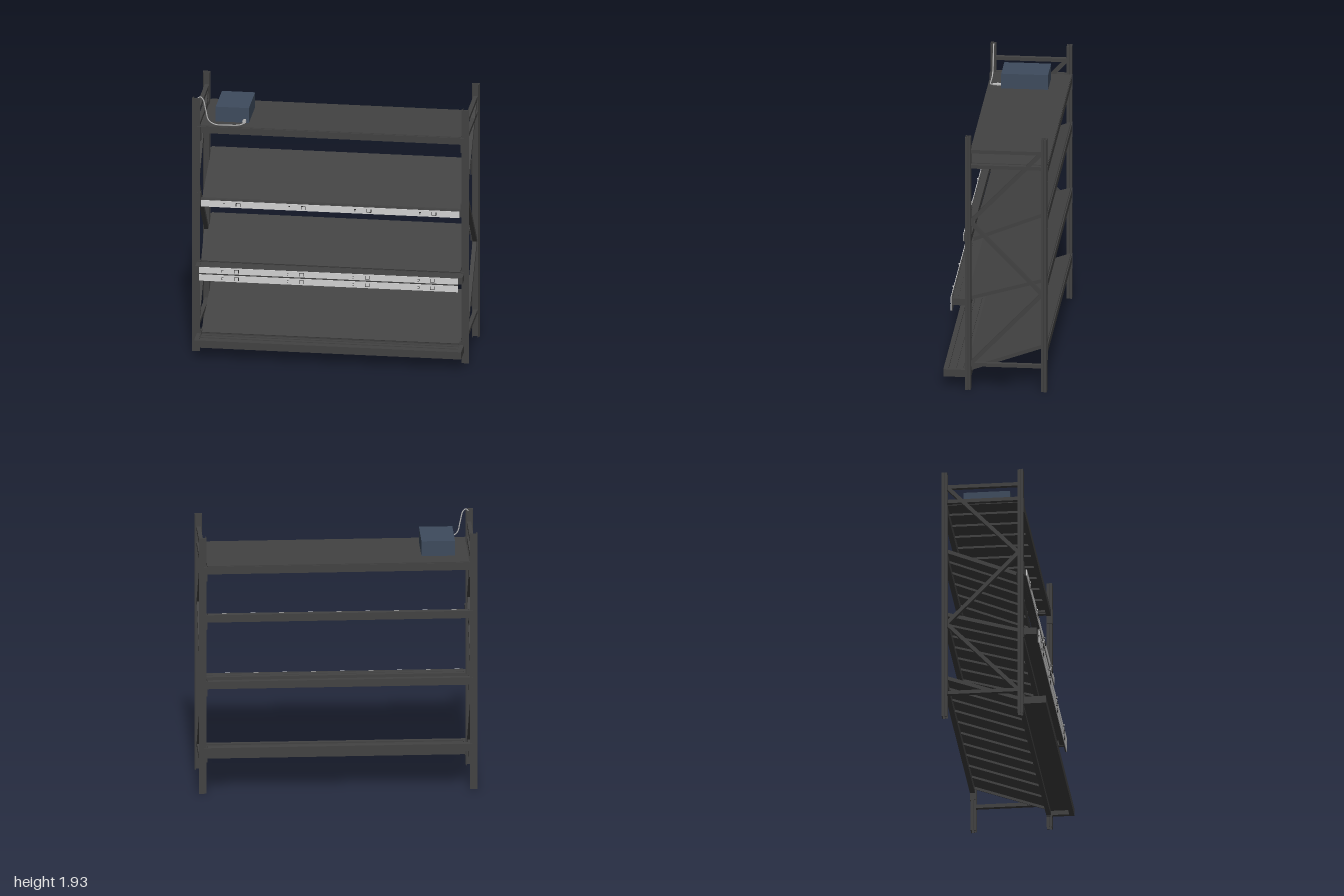
import * as THREE from 'three';

const mat = (name, color, side = THREE.FrontSide) => {
  const m = new THREE.MeshStandardMaterial({ color, side });
  m.name = name;
  return m;
};

export function createModel() {
  const steel = mat('dark steel', 0x424242);
  const strip = mat('pale strip', 0xd2d2d2);
  const clipDark = mat('clip dark', 0x2c2c2c);
  const boxBlue = mat('slate blue', 0x3e4b5d);
  const cableGrey = mat('cable grey', 0xb4b4b4);

  const root = new THREE.Group();
  root.name = 'shelvingRack';

  const add = (parent, name, geo, m) => {
    const mesh = new THREE.Mesh(geo, m);
    mesh.name = name;
    parent.add(mesh);
    return mesh;
  };
  // box from min/max bounds
  const box = (parent, name, x0, x1, y0, y1, z0, z1, m = steel) => {
    const b = add(parent, name, new THREE.BoxGeometry(x1 - x0, y1 - y0, z1 - z0), m);
    b.position.set((x0 + x1) / 2, (y0 + y1) / 2, (z0 + z1) / 2);
    return b;
  };
  // the same box on both sides of x = 0
  const pair = (parent, name, x0, x1, y0, y1, z0, z1, m = steel) => {
    box(parent, name, x0, x1, y0, y1, z0, z1, m);
    box(parent, name, -x1, -x0, y0, y1, z0, z1, m);
  };

  // Posts: open sheet channels with stepped flanges, open towards the frame
  const w = 0.0275, t = 0.004, H = 1.925;
  const half = [[w, 0], [w, 0.018], [w - 0.006, 0.023], [w - 0.006, 0.04],
    [w - 0.006 - t, 0.04], [w - 0.006 - t, 0.024], [w - t, 0.019], [w - t, t]];
  const outline = [...half, ...half.slice().reverse().map(([x, y]) => [-x, y])];
  const postGeo = new THREE.ExtrudeGeometry(
    new THREE.Shape(outline.map(([x, y]) => new THREE.Vector2(x, y))),
    { depth: H, bevelEnabled: false });
  postGeo.rotateX(-Math.PI / 2);
  for (const s of [-1, 1]) {
    const front = add(root, 'frontPost', postGeo, steel);
    front.position.set(s * 0.9725, 0, 0.215);
    const back = add(root, 'backPost', postGeo, steel);
    back.position.set(s * 0.9725, 0, -0.372);
    back.rotation.y = Math.PI;
  }

  // End frame bracing, given as [z, y] to [z, y]
  const braces = [
    [0.2, 1.815, -0.36, 1.815], [0.2, 1.7, -0.36, 1.7], [0.2, 0.19, -0.36, 0.19],
    [-0.34, 1.82, 0.185, 1.27], [0.185, 1.28, -0.34, 0.735], [-0.34, 0.74, 0.185, 0.185],
  ];
  for (const s of [-1, 1]) {
    for (const [za, ya, zb, yb] of braces) {
      const b = add(root, 'brace',
        new THREE.BoxGeometry(0.03, 0.027, Math.hypot(zb - za, yb - ya)), steel);
      b.position.set(s * 0.97, (ya + yb) / 2, (za + zb) / 2);
      b.rotation.x = -Math.atan2(yb - ya, zb - za);
    }
  }

  // Shelf decks: thin plate with folded edges and ribs beneath
  const deck = (name, zf, yf, zb, yb, hw) => {
    const g = new THREE.Group();
    g.name = name;
    const L = Math.hypot(zf - zb, yb - yf);
    box(g, 'deckPlate', -hw, hw, -0.008, 0, -L / 2, L / 2);
    pair(g, 'deckSideFold', hw - 0.006, hw, -0.027, -0.008, -L / 2, L / 2);
    box(g, 'deckFrontFold', -hw, hw, -0.025, -0.008, L / 2 - 0.006, L / 2);
    box(g, 'deckBackFold', -hw, hw, -0.025, -0.008, -L / 2, -L / 2 + 0.006);
    for (let i = 1; i < 10; i++) {
      const x = -hw + (i * 2 * hw) / 10;
      box(g, 'deckRib', x - 0.008, x + 0.008, -0.024, -0.008, -L / 2 + 0.006, L / 2 - 0.006);
    }
    g.position.set(0, (yf + yb) / 2, (zf + zb) / 2);
    g.rotation.x = Math.atan2(yb - yf, zf - zb);
    root.add(g);
  };
  deck('topShelf', 0.2, 1.715, -0.372, 1.715, 0.94);
  deck('upperShelf', 0.165, 1.142, -0.365, 1.355, 0.936);
  deck('middleShelf', 0.205, 0.688, -0.365, 0.852, 0.936);
  deck('lowerShelf', 0.21, 0.146, -0.365, 0.352, 0.936);

  // Back beams with hook plates on the posts
  for (const y of [1.708, 1.345, 0.843, 0.343]) {
    box(root, 'backBeam', -0.945, 0.945, y - 0.055, y, -0.375, -0.34);
    pair(root, 'backHookPlate', 0.938, 0.965, y - 0.108, y, -0.376, -0.371);
    pair(root, 'backHookReturn', 0.938, 0.944, y - 0.108, y, -0.371, -0.335);
  }

  // Front beams
  for (const [y0, y1, h0, h1] of [[1.66, 1.71, 1.6, 1.71], [1.11, 1.16, 1.11, 1.21],
    [0.635, 0.68, 0.61, 0.69], [0.085, 0.14, 0.08, 0.165]]) {
    box(root, 'frontBeam', -0.945, 0.945, y0, y1, 0.175, 0.208);
    pair(root, 'frontHookPlate', 0.938, 0.965, h0, h1, 0.214, 0.219);
    pair(root, 'frontHookReturn', 0.938, 0.944, h0, h1, 0.175, 0.214);
  }

  // Middle shelf: beam carried forward on short arms
  pair(root, 'middleArm', 0.935, 0.965, 0.632, 0.682, 0.21, 0.31);
  box(root, 'middleOuterBeam', -0.935, 0.935, 0.635, 0.68, 0.27, 0.31);
  box(root, 'middleLedge', -0.935, 0.935, 0.67, 0.678, 0.205, 0.27);

  // Lower shelf: flat tray reaching out in front
  box(root, 'trayFront', -0.965, 0.965, 0.085, 0.14, 0.34, 0.375);
  pair(root, 'trayArm', 0.935, 0.965, 0.085, 0.14, 0.205, 0.34);
  box(root, 'trayDeck', -0.935, 0.935, 0.118, 0.13, 0.205, 0.34);
  for (const z of [0.235, 0.285]) {
    box(root, 'trayRidge', -0.935, 0.935, 0.13, 0.136, z, z + 0.008);
  }
  pair(root, 'trayGusset', 0.93, 0.945, 0.13, 0.16, 0.18, 0.225);

  // Pale front strips with their backing rails and small clips
  const labelStrip = (y0, y1, z) => {
    const g = new THREE.Group();
    g.name = 'frontStrip';
    box(g, 'stripRail', -0.935, 0.935, y0, y1, z - 0.014, z - 0.005, steel);
    box(g, 'stripFace', -0.935, 0.935, y0 + 0.001, y1 - 0.001, z - 0.005, z, strip);
    const yc = (y0 + y1) / 2;
    for (const x of [-0.71, -0.24, 0.235, 0.705]) {
      const d = x < 0 ? 1 : -1;
      box(g, 'clip', x - 0.055 - 0.006, x - 0.055 + 0.006, yc - 0.008, yc + 0.008, z, z + 0.006, clipDark);
      box(g, 'clipCap', x - 0.055 - 0.004, x - 0.055 + 0.006, yc - 0.005, yc + 0.005, z + 0.006, z + 0.012, strip);
      const sx = x + 0.045;
      // square bracket outline
      for (const e of [-1, 1]) {
        box(g, 'socketSide', sx + e * 0.015 - 0.002, sx + e * 0.015 + 0.002, yc - 0.012, yc + 0.012, z, z + 0.004, clipDark);
      }
      box(g, 'socketEdge', sx - 0.015, sx + 0.015, yc + d * 0.011 - 0.0015, yc + d * 0.011 + 0.0015, z, z + 0.004, clipDark);
    }
    root.add(g);
  };
  labelStrip(1.11, 1.16, 0.236);
  labelStrip(0.635, 0.682, 0.325);
  labelStrip(0.577, 0.626, 0.325);
  box(root, 'stripHinge', -0.935, 0.935, 0.624, 0.637, 0.31, 0.32);
  box(root, 'upperStripSpacer', -0.935, 0.935, 1.112, 1.158, 0.206, 0.224);

  // Control box on the top shelf
  box(root, 'controlBox', -0.845, -0.605, 1.716, 1.828, -0.232, 0.105, boxBlue);

  // Cable from the post top to a plug on the box
  const path = new THREE.CatmullRomCurve3([
    [-0.965, 1.915, 0.19], [-0.945, 1.928, 0.19], [-0.925, 1.91, 0.19], [-0.905, 1.83, 0.19],
    [-0.885, 1.755, 0.19], [-0.84, 1.725, 0.19], [-0.74, 1.722, 0.19], [-0.665, 1.726, 0.188],
    [-0.638, 1.733, 0.175], [-0.635, 1.735, 0.15],
  ].map((p) => new THREE.Vector3(...p)));
  add(root, 'cable', new THREE.TubeGeometry(path, 60, 0.0045, 8), cableGrey);
  for (const [r, len, z] of [[0.009, 0.03, 0.15], [0.014, 0.012, 0.132], [0.011, 0.025, 0.116]]) {
    const c = add(root, 'plug', new THREE.CylinderGeometry(r, r, len, 12), cableGrey);
    c.rotation.x = Math.PI / 2;
    c.position.set(-0.635, 1.735, z);
  }
  return root;
}
